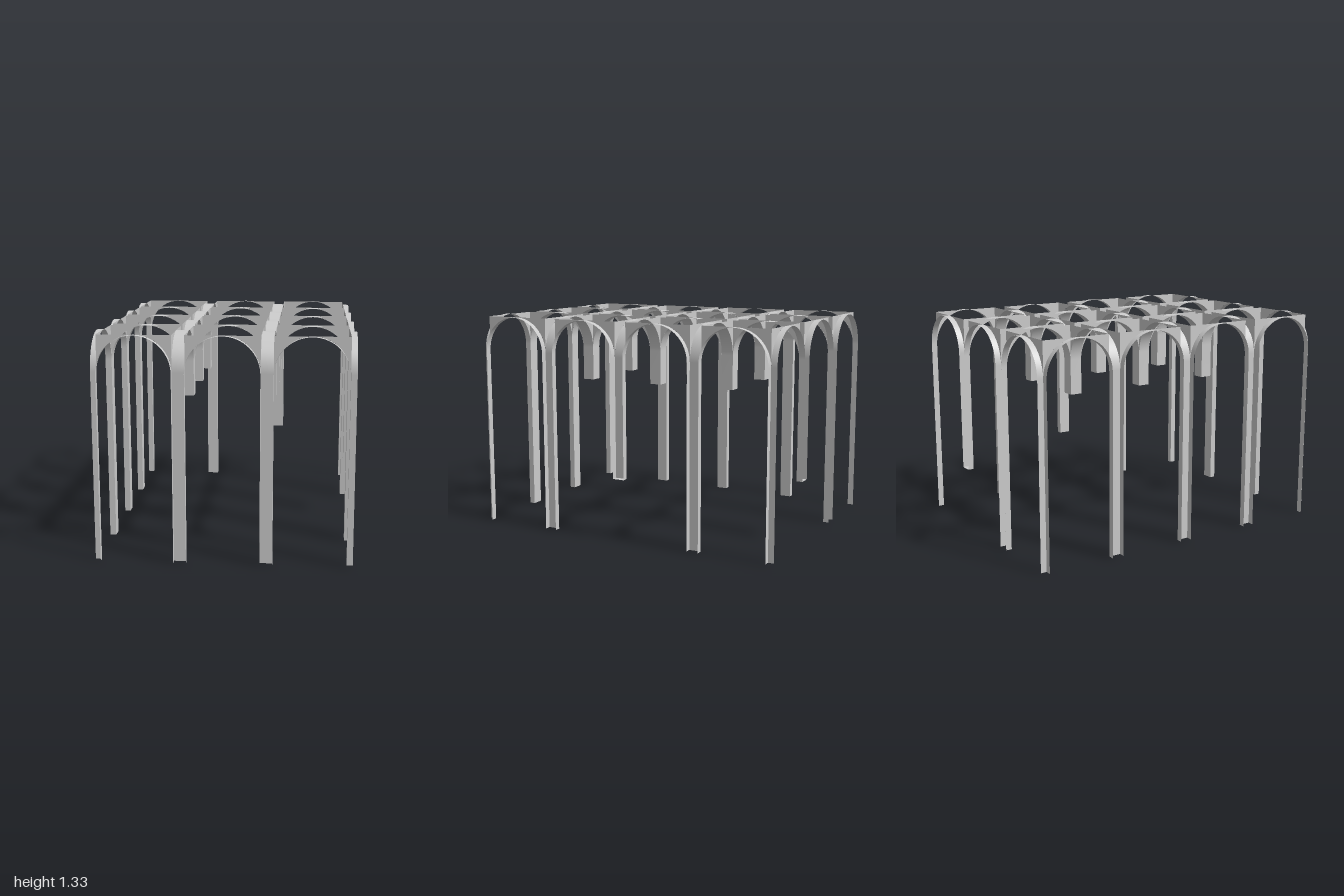
import * as THREE from 'three';

const STEP = 0.5, HALF = 0.037, TOP = 1.325;
const R = STEP / 2 - HALF;          // arch radius = half the clear bay width
const SPRING = TOP - R;             // height where the arch starts
const XS = [-0.75, -0.25, 0.25, 0.75];
const ZS = [-1, -0.5, 0, 0.5, 1];
const LAST_X = XS.length - 1, LAST_Z = ZS.length - 1;

const material = new THREE.MeshStandardMaterial({ color: 0xcccccc, side: THREE.DoubleSide });

// Height of the lower end of each column: inner ones hang, two outer ones are cut short
function footHeight(i, j) {
  if (i > 0 && i < LAST_X && j > 0 && j < LAST_Z) return 0.9;
  if ((i === 2 && j === 0) || (i === LAST_X && j === 2)) return 0.38;
  return 0;
}

// Extent of a strip or column around a grid line, halved on the outer boundary
const span = (index, last) => [index === 0 ? 0 : -HALF, index === last ? 0 : HALF];

// Curved underside of an arch, running down both column faces to the feet
function soffitGeometry(footA, footB, w0, w1) {
  const arc = 32, n = arc + 2;
  const geo = new THREE.PlaneGeometry(1, 1, n, 1);
  const p = geo.attributes.position;
  for (let k = 0; k < p.count; k++) {
    const c = k % (n + 1), z = k > n ? w1 : w0;
    if (c === 0) p.setXYZ(k, -R, footA, z);
    else if (c === n) p.setXYZ(k, R, footB, z);
    else {
      const a = Math.PI * (1 - (c - 1) / arc);
      p.setXYZ(k, R * Math.cos(a), SPRING + R * Math.sin(a), z);
    }
  }
  geo.computeVertexNormals();
  return geo;
}

// Wall piece between the arch curve and the flat top line
const spandrelShape = new THREE.Shape();
spandrelShape.moveTo(-R, SPRING);
spandrelShape.lineTo(-R, TOP);
spandrelShape.lineTo(0, TOP);
spandrelShape.absarc(0, SPRING, R, Math.PI / 2, Math.PI, false);
const spandrelGeometry = new THREE.ShapeGeometry(spandrelShape, 16);

function addMesh(parent, geometry, name) {
  const mesh = new THREE.Mesh(geometry, material);
  mesh.name = name;
  parent.add(mesh);
  return mesh;
}

// One arch along local x, with spandrels on each side that faces a bay
function makeArch(name, footA, footB, [w0, w1]) {
  const arch = new THREE.Group();
  arch.name = name;
  addMesh(arch, soffitGeometry(footA, footB, w0, w1), 'archSoffit');
  for (const z of [w0, w1]) {
    if (z === 0) continue;
    for (const turn of [0, Math.PI]) {
      const wall = addMesh(arch, spandrelGeometry, 'spandrel');
      wall.position.z = z;
      wall.rotation.y = turn;
    }
  }
  return arch;
}

export function createModel() {
  const model = new THREE.Group();
  model.name = 'arcadeGrid';

  // Arches across the width
  for (let j = 0; j <= LAST_Z; j++) {
    for (let i = 0; i < LAST_X; i++) {
      const arch = makeArch('crossArch', footHeight(i, j), footHeight(i + 1, j), span(j, LAST_Z));
      arch.position.set(XS[i] + STEP / 2, 0, ZS[j]);
      model.add(arch);
    }
  }

  // Arches along the length (local x becomes z, local z becomes -x)
  for (let i = 0; i <= LAST_X; i++) {
    const [a, b] = span(i, LAST_X);
    for (let j = 0; j < LAST_Z; j++) {
      const arch = makeArch('longArch', footHeight(i, j), footHeight(i, j + 1), [-b, -a]);
      arch.rotation.y = -Math.PI / 2;
      arch.position.set(XS[i], 0, ZS[j] + STEP / 2);
      model.add(arch);
    }
  }

  // Closed lower ends of the columns that stop above the floor
  XS.forEach((x, i) => ZS.forEach((z, j) => {
    const y = footHeight(i, j);
    if (y === 0) return;
    const [x0, x1] = span(i, LAST_X), [z0, z1] = span(j, LAST_Z);
    const cap = addMesh(model, new THREE.PlaneGeometry(x1 - x0, z1 - z0), 'columnEnd');
    cap.rotation.x = Math.PI / 2;
    cap.position.set(x + (x0 + x1) / 2, y, z + (z0 + z1) / 2);
  }));

  return model;
}
